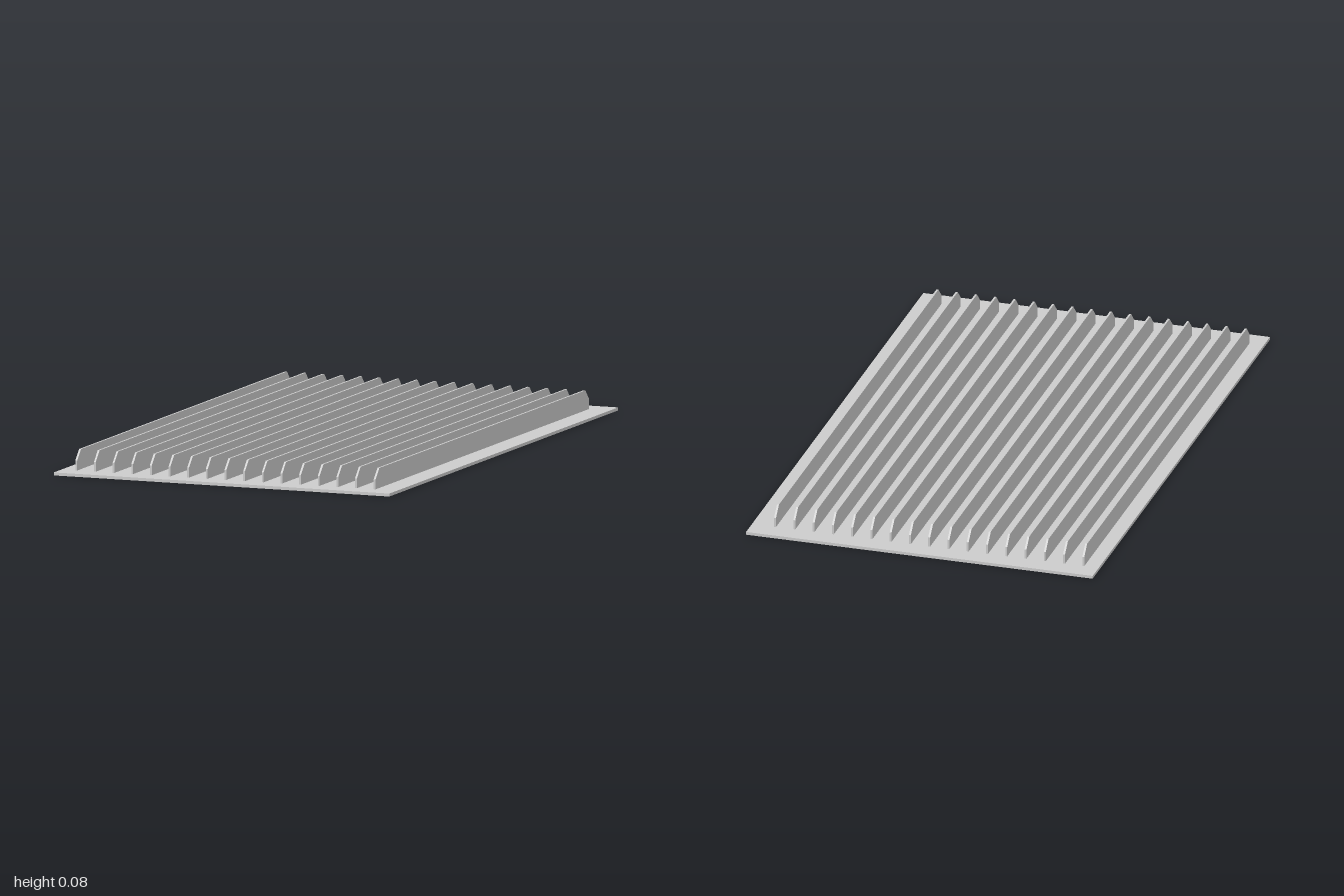
import * as THREE from 'three';

export function createModel() {
  const group = new THREE.Group();
  const material = new THREE.MeshStandardMaterial({ color: 0xcccccc, flatShading: true });

  const baseHeight = 0.01;
  const finCount = 17, finPitch = 0.0667, finWidth = 0.0067, firstFin = -0.547;

  // Flat base plate
  const base = new THREE.Mesh(new THREE.BoxGeometry(1.2, baseHeight, 2), material);
  base.name = 'basePlate';
  base.position.y = baseHeight / 2;
  group.add(base);

  // Fin side profile (length, height) with chamfered upper corners
  const profile = new THREE.Shape([
    [-0.933, 0], [0.933, 0], [0.933, 0.033], [0.9, 0.067], [-0.9, 0.067], [-0.933, 0.033],
  ].map(([x, y]) => new THREE.Vector2(x, y)));
  const finGeometry = new THREE.ExtrudeGeometry(profile, { depth: finWidth, bevelEnabled: false });
  finGeometry.translate(0, 0, -finWidth / 2);
  finGeometry.rotateY(Math.PI / 2);

  // Row of parallel fins
  const fins = new THREE.Group();
  fins.name = 'coolingFins';
  for (let i = 0; i < finCount; i++) {
    const fin = new THREE.Mesh(finGeometry, material);
    fin.name = `fin${i + 1}`;
    fin.position.set(firstFin + i * finPitch, baseHeight, 0);
    fins.add(fin);
  }
  group.add(fins);

  return group;
}
